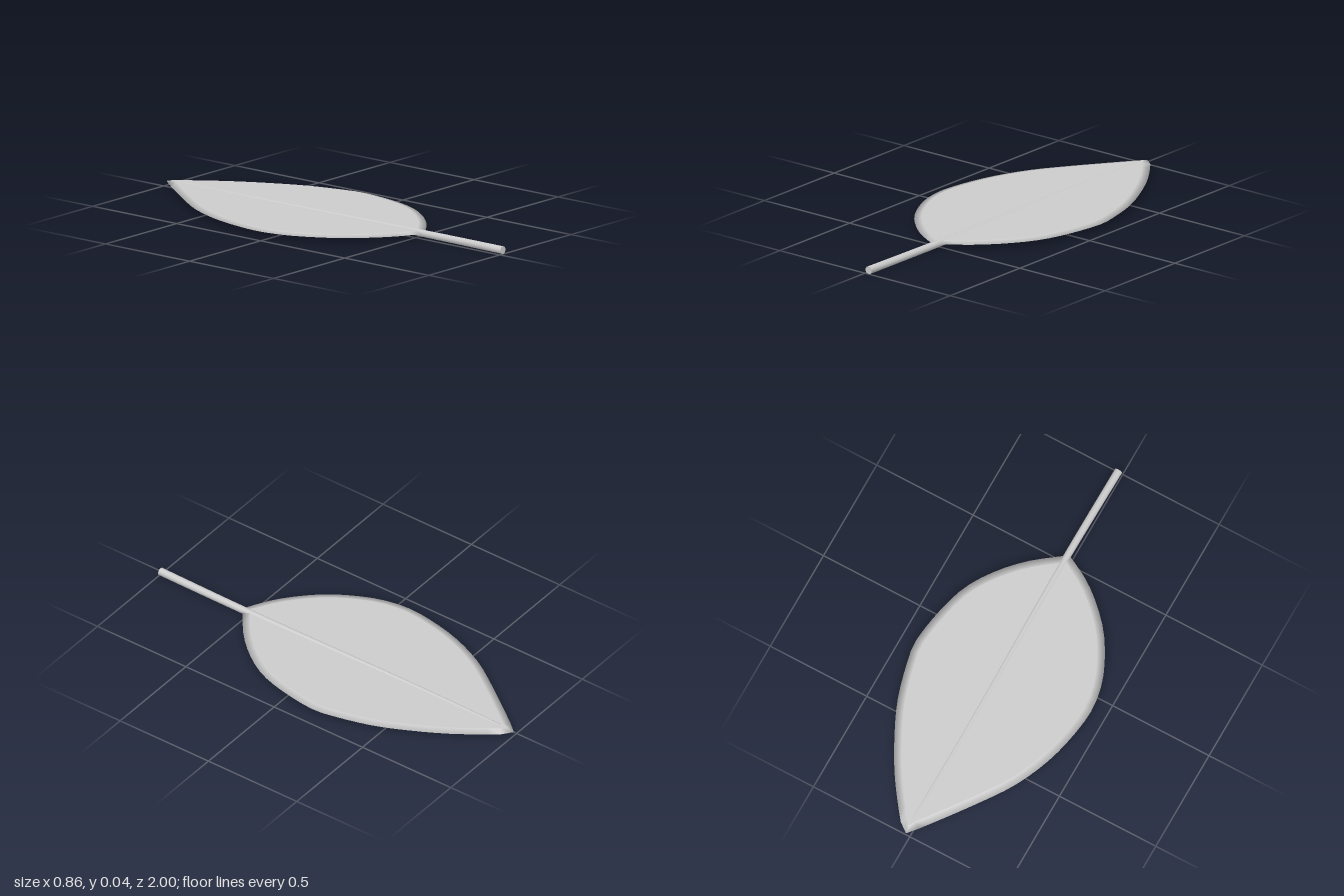
import * as THREE from 'three';

const material = new THREE.MeshStandardMaterial({ color: 0xcccccc });
const N = 30; // samples along each half of the outline

// Evenly spaced points on a smooth curve through [x, z] pairs
function sample(pairs) {
  return new THREE.SplineCurve(pairs.map(([x, z]) => new THREE.Vector2(x, z))).getSpacedPoints(N);
}

// Leaf blade: flat faces with a bevelled rim that comes to a sharp edge
function bladeGeometry() {
  const left = sample([[0.02, -1], [0.07, -0.96], [0.2, -0.78], [0.3, -0.6], [0.37, -0.44], [0.42, -0.25],
    [0.43, -0.15], [0.405, 0.02], [0.36, 0.17], [0.28, 0.3], [0.17, 0.42], [0.02, 0.535]]);
  const right = sample([[0.02, -1], [-0.03, -0.94], [-0.2, -0.71], [-0.31, -0.54], [-0.39, -0.34],
    [-0.43, -0.12], [-0.42, 0.02], [-0.38, 0.14], [-0.3, 0.28], [-0.2, 0.39], [-0.1, 0.47], [0.02, 0.535]]);
  const outline = [...left, ...right.slice(1, N).reverse()];
  const count = outline.length;
  const positions = [], index = [];

  // A ring is the outline moved inward by inset at height y
  function addRing(inset, y) {
    const start = positions.length / 3;
    outline.forEach((p, i) => {
      const t = outline[(i + 1) % count].clone().sub(outline[(i + count - 1) % count]).normalize();
      positions.push(p.x - t.y * inset, y, p.y + t.x * inset);
    });
    return start;
  }
  function joinRings(a, b) {
    for (let i = 0; i < count; i++) {
      const j = (i + 1) % count;
      index.push(a + i, a + j, b + i, b + i, a + j, b + j);
    }
  }
  // Fill a ring with strips running from one side to the other
  function fillRing(a, up) {
    for (let i = 0; i < N; i++) {
      const l0 = a + i, l1 = a + i + 1;
      const r0 = a + (count - i) % count, r1 = a + count - i - 1;
      for (const [p, q, r] of [[l0, r0, l1], [l1, r0, r1]]) {
        if (p === q || q === r || p === r) continue;
        index.push(p, up ? q : r, up ? r : q);
      }
    }
  }

  // Upper and lower bevels
  const inset = 0.035, top = 0.029, edge = 0.02, bottom = 0.012;
  const rim = addRing(0, edge);
  joinRings(addRing(inset, top), rim);
  joinRings(rim, addRing(inset, bottom));
  // Flat faces
  fillRing(addRing(inset, top), true);
  fillRing(addRing(inset, bottom), false);

  const geometry = new THREE.BufferGeometry();
  geometry.setAttribute('position', new THREE.Float32BufferAttribute(positions, 3));
  geometry.setIndex(index);
  geometry.computeVertexNormals();
  return geometry;
}

// Stem and midrib: one thin tapered rod with a slight bend
function stemGeometry() {
  const front = 1, back = -0.92, length = front - back;
  const geometry = new THREE.CylinderGeometry(0.0185, 0.0125, length, 10, 16);
  geometry.rotateX(Math.PI / 2);
  geometry.translate(0, 0.0185, (front + back) / 2);
  const pos = geometry.attributes.position;
  for (let i = 0; i < pos.count; i++) {
    const z = pos.getZ(i);
    pos.setX(i, pos.getX(i) + 0.023 + 0.004 * Math.sin(z * 3.5));
  }
  geometry.computeVertexNormals();
  return geometry;
}

export function createModel() {
  const leaf = new THREE.Group();
  leaf.name = 'leaf';
  for (const [name, geometry] of [['blade', bladeGeometry()], ['stem', stemGeometry()]]) {
    const mesh = new THREE.Mesh(geometry, material);
    mesh.name = name;
    leaf.add(mesh);
  }
  return leaf;
}
